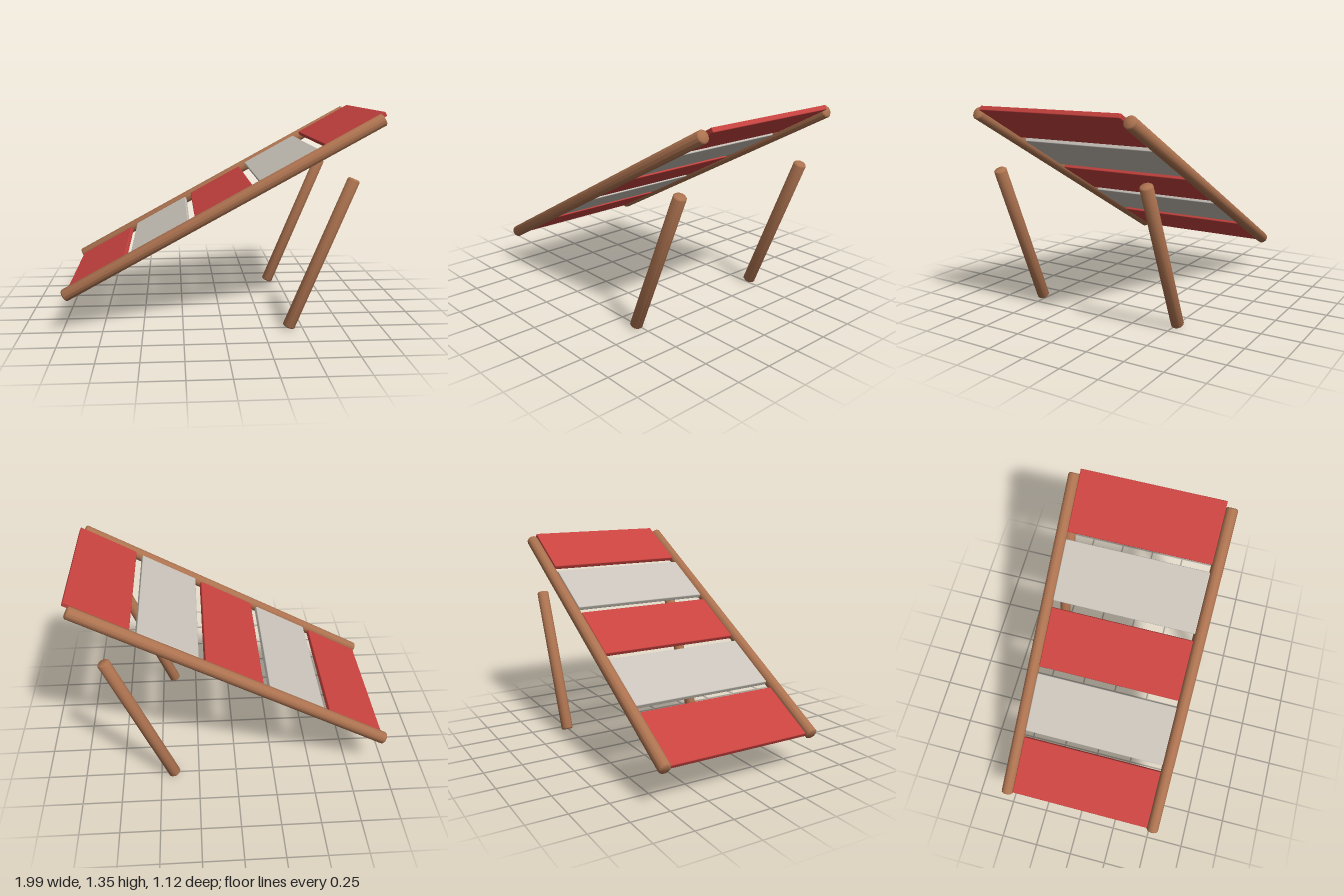
import * as THREE from 'three';
import { toCreasedNormals } from 'three/addons/utils/BufferGeometryUtils.js';
import { RoundedBoxGeometry } from 'three/addons/geometries/RoundedBoxGeometry.js';

function material(name, color) {
  const m = new THREE.MeshStandardMaterial({ color });
  m.name = name;
  return m;
}

// Round pole with softened ends, running between two points in the xy plane
function pole(name, x0, y0, x1, y1, z, radius, mat) {
  const start = new THREE.Vector3(x0, y0, z);
  const end = new THREE.Vector3(x1, y1, z);
  const half = start.distanceTo(end) / 2;
  const bevel = 0.008;
  const profile = [
    [0, -half], [radius - bevel, -half], [radius, -half + bevel],
    [radius, half - bevel], [radius - bevel, half], [0, half],
  ].map(([r, y]) => new THREE.Vector2(r, y));
  const geometry = toCreasedNormals(new THREE.LatheGeometry(profile, 12), 0.85);
  const mesh = new THREE.Mesh(geometry, mat);
  mesh.name = name;
  mesh.position.copy(start).add(end).multiplyScalar(0.5);
  mesh.quaternion.setFromUnitVectors(
    new THREE.Vector3(0, 1, 0),
    end.sub(start).normalize()
  );
  return mesh;
}

export function createModel() {
  const model = new THREE.Group();
  model.name = 'slopedSlatFrame';
  const wood = material('wood', 0xad7350);
  const red = material('red', 0xc8433f);
  const grey = material('lightGrey', 0xc9c3ba);

  // Sloping side rails and the separate props beneath the high end
  for (const [side, z] of [['front', 0.52], ['back', -0.52]]) {
    model.add(pole(side + 'Rail', -0.98, 0.246, 0.968, 1.311, z, 0.04, wood));
    model.add(pole(side + 'Prop', 0.409, 0.016, 0.797, 0.95, z, 0.04, wood));
  }

  // Alternating panels between the rails
  const panels = new THREE.Group();
  panels.name = 'panels';
  const panelGeometry = new RoundedBoxGeometry(0.41, 0.03, 0.964, 2, 0.006);
  for (let i = 0; i < 5; i++) {
    const panel = new THREE.Mesh(panelGeometry, i % 2 ? grey : red);
    panel.name = 'panel' + (i + 1);
    panel.position.set(-0.785 + i * 0.399, 0.345 + i * 0.2245, 0);
    panel.rotation.z = 0.503;
    panels.add(panel);
  }
  model.add(panels);

  return model;
}
